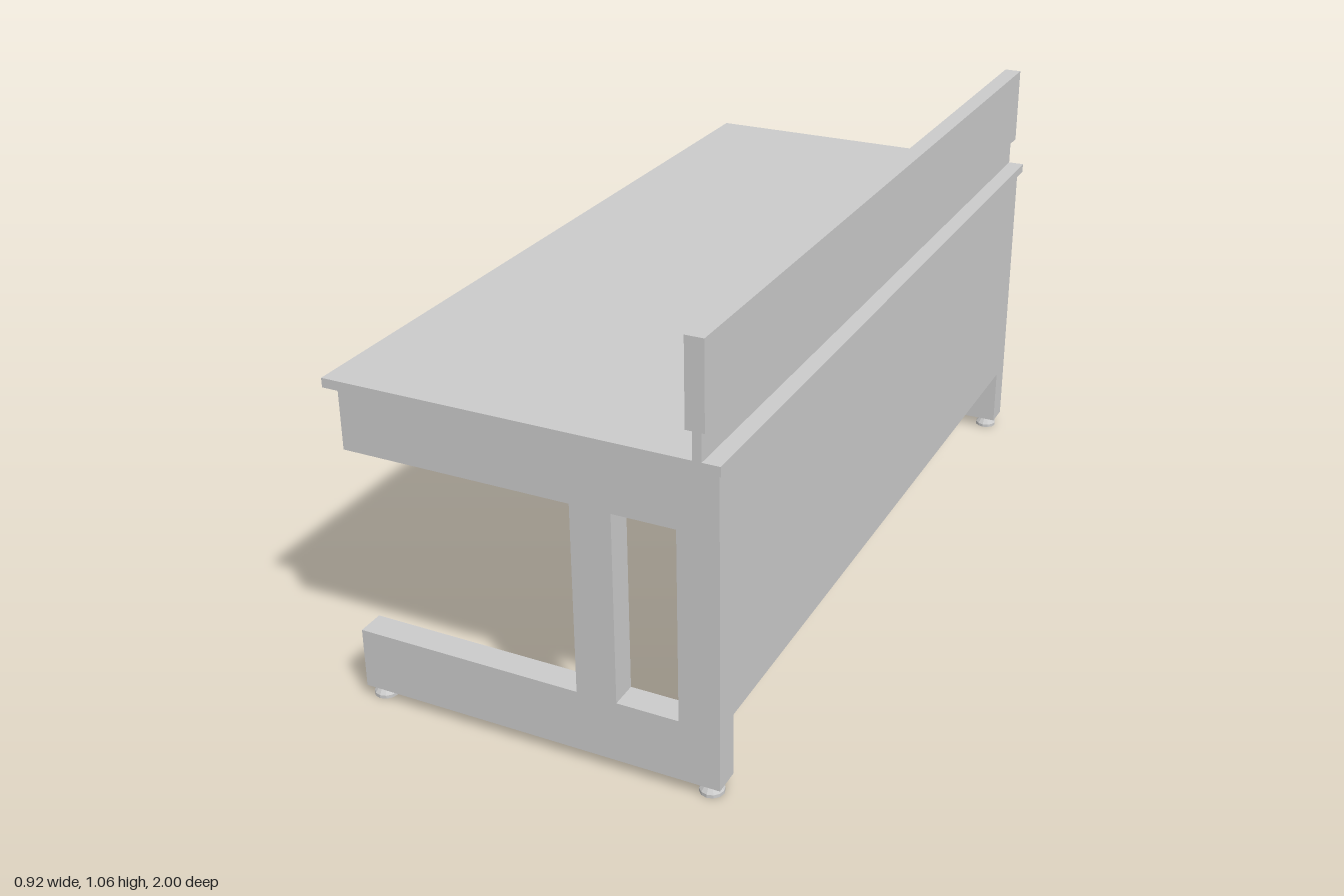
import * as THREE from 'three';
import { RoundedBoxGeometry } from 'three/addons/geometries/RoundedBoxGeometry.js';

const grey = new THREE.MeshStandardMaterial({ color: 0xcccccc });
const greyFlat = new THREE.MeshStandardMaterial({ color: 0xcccccc, flatShading: true });
const slate = new THREE.MeshStandardMaterial({ color: 0x737d90 });

export function createModel() {
  const desk = new THREE.Group();
  desk.name = 'workbench';

  const add = (name, geometry, material = grey) => {
    const mesh = new THREE.Mesh(geometry, material);
    mesh.name = name;
    desk.add(mesh);
    return mesh;
  };
  // Box given by its limits on each axis
  const box = (name, [x0, x1], [y0, y1], [z0, z1]) =>
    add(name, new THREE.BoxGeometry(x1 - x0, y1 - y0, z1 - z0))
      .position.set((x0 + x1) / 2, (y0 + y1) / 2, (z0 + z1) / 2);

  // Worktop, upstand rail and raised back board
  box('worktop', [-0.46, 0.46], [0.775, 0.797], [-0.995, 0.99]);
  box('upstandRail', [0.4, 0.42], [0.797, 0.865], [-0.995, 0.99]);
  box('backBoard', [0.39, 0.432], [0.865, 1.06], [-1, 1]);

  // Side frames: C-shaped profile with a window behind the upright
  const profile = new THREE.Shape([
    [-0.43, 0.03], [0.452, 0.03], [0.452, 0.775], [-0.43, 0.775],
    [-0.43, 0.63], [0.118, 0.63], [0.118, 0.177], [-0.43, 0.177],
  ].map(([x, y]) => new THREE.Vector2(x, y)));
  profile.holes.push(new THREE.Path([
    [0.213, 0.177], [0.213, 0.63], [0.358, 0.63], [0.358, 0.177],
  ].map(([x, y]) => new THREE.Vector2(x, y))));
  const frame = new THREE.ExtrudeGeometry(profile, { depth: 0.065, bevelEnabled: false });
  add('leftFrame', frame).position.z = 0.913;
  add('rightFrame', frame).position.z = -0.972;

  // Panel and front apron spanning between the frames
  box('modestyPanel', [0.358, 0.452], [0.18, 0.775], [-0.907, 0.913]);
  box('frontApron', [-0.43, -0.37], [0.63, 0.775], [-0.907, 0.913]);

  // Levelling feet
  const foot = new THREE.LatheGeometry([
    [0, 0], [0.028, 0], [0.028, 0.008], [0.016, 0.023], [0.016, 0.031],
  ].map(([r, y]) => new THREE.Vector2(r, y)), 12);
  for (const x of [-0.401, 0.419]) {
    for (const z of [-0.94, 0.946]) add('levellingFoot', foot, greyFlat).position.set(x, 0, z);
  }

  // Twin socket plates on the back board
  const plate = new RoundedBoxGeometry(0.025, 0.08, 0.076, 2, 0.007);
  const inset = new THREE.BoxGeometry(0.002, 0.056, 0.052);
  for (const side of [-1, 1]) {
    for (const offset of [-0.039, 0.039]) {
      const z = side * 0.708 + offset;
      add('socketPlate', plate, slate).position.set(0.378, 0.958, z);
      add('socketInset', inset, slate).position.set(0.365, 0.958, z);
    }
  }
  return desk;
}
